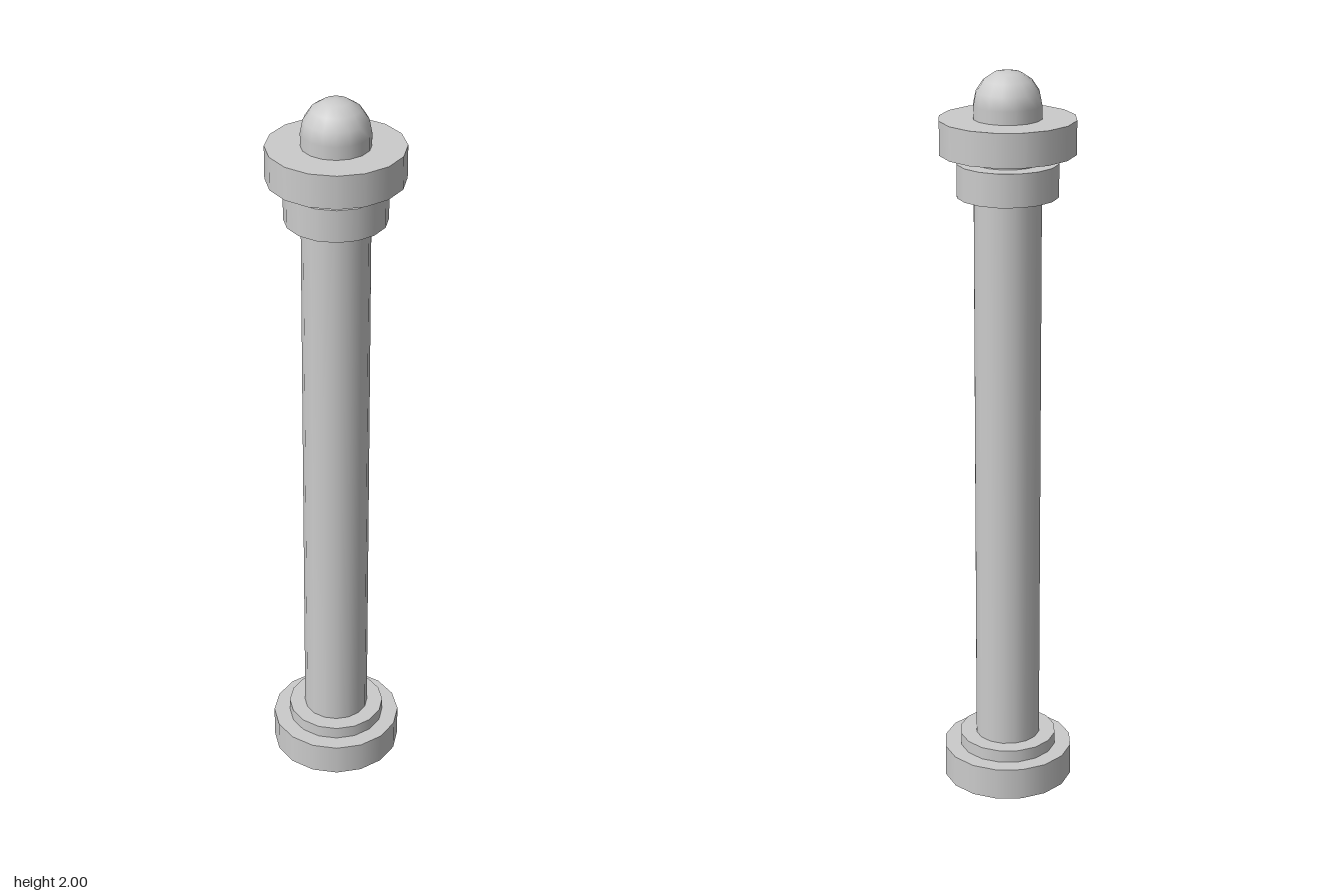
import * as THREE from 'three';

const SIDES = 16;
const material = new THREE.MeshStandardMaterial({ color: 0xcccccc });

export function createModel() {
  const model = new THREE.Group();
  model.name = 'post';

  // Adds an upright disc or column between two heights
  function addRound(name, radius, bottom, top) {
    const geometry = new THREE.CylinderGeometry(radius, radius, top - bottom, SIDES);
    const mesh = new THREE.Mesh(geometry, material);
    mesh.name = name;
    mesh.position.y = (bottom + top) / 2;
    model.add(mesh);
  }

  // Stepped foot
  addRound('basePlate', 0.179, 0, 0.09);
  addRound('baseStep', 0.134, 0.09, 0.125);

  // Column running through the collars up to the dome
  addRound('shaft', 0.0895, 0.125, 1.9105);

  // Two collars near the top, with a small gap between them
  addRound('lowerCollar', 0.134, 1.674, 1.762);
  addRound('upperCollar', 0.179, 1.787, 1.876);

  // Rounded cap
  const dome = new THREE.Mesh(
    new THREE.SphereGeometry(0.0895, SIDES, 4, 0, Math.PI * 2, 0, Math.PI / 2),
    material
  );
  dome.name = 'domeCap';
  dome.position.y = 1.9105;
  model.add(dome);

  return model;
}
